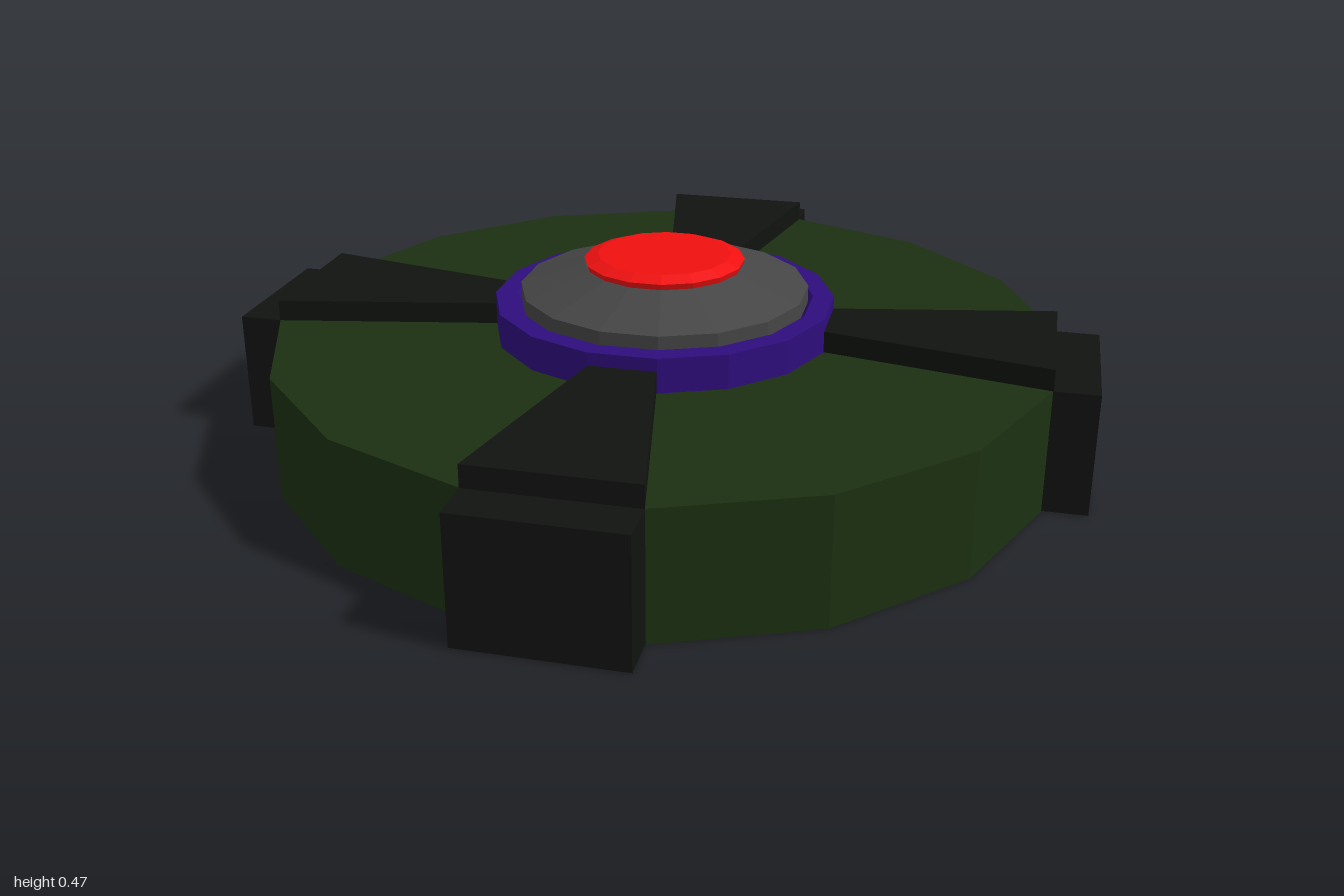
import * as THREE from 'three';

const SIDES = 16;
const STEP = Math.PI / SIDES; // half a facet, so flats face the axes
const BODY_R = 0.917, BODY_H = 0.29, ARM_W = 0.18, FLAT = 0.9;

const paint = (color) => new THREE.MeshStandardMaterial({ color, flatShading: true });
const green = paint(0x1b3012);
const black = paint(0x101310);
const purple = paint(0x2e0d7c);
const grey = paint(0x454545);
const red = paint(0xf01010);

function add(parent, name, geometry, material) {
  const mesh = new THREE.Mesh(geometry, material);
  mesh.name = name;
  parent.add(mesh);
  return mesh;
}

// Sixteen-sided turned part; the profile runs upward on the outside
function turned(profile) {
  const points = profile.map(([r, y]) => new THREE.Vector2(r, y));
  return new THREE.LatheGeometry(points, SIDES, STEP);
}

// Flat shape in x/z, raised from y0 to y1
function slab(outline, y0, y1) {
  const shape = new THREE.Shape(outline.map(([x, z]) => new THREE.Vector2(x, -z)));
  const geometry = new THREE.ExtrudeGeometry(shape, { depth: y1 - y0, bevelEnabled: false });
  return geometry.rotateX(-Math.PI / 2).translate(0, y0, 0);
}

// Underside: the body polygon with a tab below each clamp
function underside() {
  const points = [];
  for (let q = 0; q < 4; q++) {
    const turn = (x, y) =>
      points.push(new THREE.Vector2(x, y).rotateAround(new THREE.Vector2(), q * Math.PI / 2));
    turn(1, -ARM_W);
    turn(1, ARM_W);
    for (let i = 0; i < 4; i++) {
      const a = STEP * (1 + 2 * i);
      turn(BODY_R * Math.cos(a), BODY_R * Math.sin(a));
    }
  }
  return new THREE.ShapeGeometry(new THREE.Shape(points)).rotateX(Math.PI / 2);
}

export function createModel() {
  const model = new THREE.Group();
  model.name = 'roundDevice';

  // Main disc and its base plate
  add(model, 'body', turned([[BODY_R, 0], [BODY_R, BODY_H], [0, BODY_H]]), green);
  add(model, 'basePlate', underside(), grey);

  // Four clamps: an outer block and a tapered arm reaching the collar
  for (let i = 0; i < 4; i++) {
    const clamp = new THREE.Group();
    clamp.name = 'clamp';
    clamp.rotation.y = i * Math.PI / 2;
    add(clamp, 'clampBlock',
      slab([[-ARM_W, FLAT - 0.003], [-ARM_W, 1], [ARM_W, 1], [ARM_W, FLAT - 0.003]], 0.002, BODY_H), black);
    add(clamp, 'clampArm',
      slab([[-0.072, 0.37], [-ARM_W, FLAT], [ARM_W, FLAT], [0.072, 0.37]], BODY_H - 0.002, 0.34), black);
    model.add(clamp);
  }

  // Collar with a shallow recess around the dome
  add(model, 'collar', turned([[0.397, BODY_H], [0.397, 0.37], [0.348, 0.37], [0.33, 0.345]]), purple);

  // Faceted dome
  add(model, 'dome', turned([[0.336, 0.34], [0.336, 0.396], [0.185, 0.446], [0, 0.446]]), grey);

  // Push button
  add(model, 'button', turned([[0.18, 0.44], [0.187, 0.46], [0.155, 0.472], [0, 0.472]]), red);

  return model;
}
